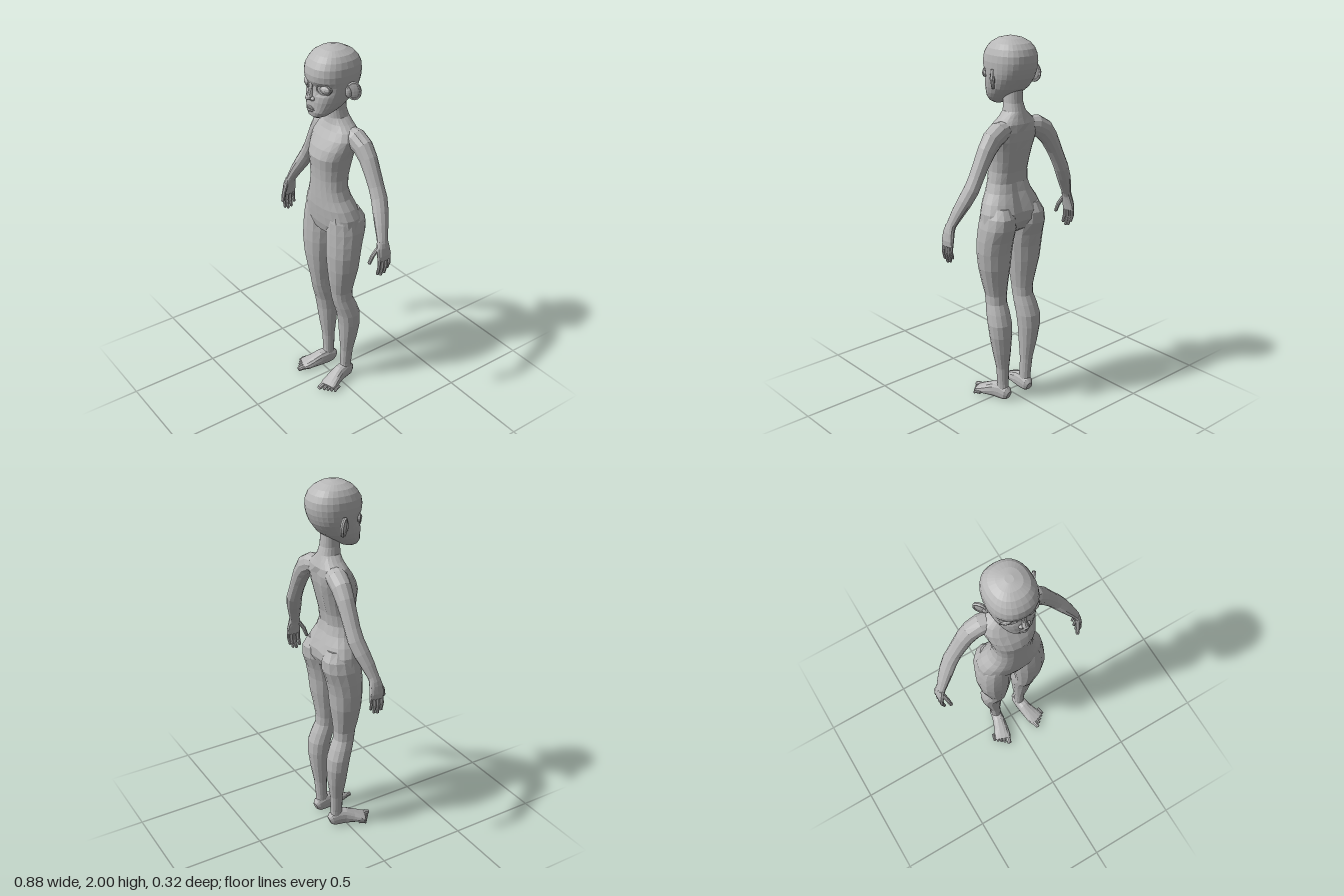
import * as THREE from 'three';

const skin = new THREE.MeshStandardMaterial({ color: 0xb8b8b8 });
skin.name = 'neutral grey';
const V = (x, y, z) => new THREE.Vector3(x, y, z);

// faceted mesh from any geometry
function part(name, geometry) {
  const flat = geometry.index ? geometry.toNonIndexed() : geometry;
  flat.computeVertexNormals();
  const mesh = new THREE.Mesh(flat, skin);
  mesh.name = name;
  return mesh;
}

// skin between rings { c: centre, u, v: half axes }, with closed ends
function loft(name, rings, segs, power = 2, warp = null) {
  const pos = [], idx = [];
  const bend = (s) => Math.sign(s) * Math.pow(Math.abs(s), 2 / power);
  const push = (p) => { if (warp) warp(p); pos.push(p.x, Math.max(p.y, 0), p.z); };
  for (const { c, u, v } of rings) {
    for (let j = 0; j < segs; j++) {
      const a = (j / segs) * Math.PI * 2;
      push(c.clone().addScaledVector(u, bend(Math.cos(a))).addScaledVector(v, bend(Math.sin(a))));
    }
  }
  push(rings[0].c.clone());
  push(rings[rings.length - 1].c.clone());
  const first = rings.length * segs, top = (rings.length - 1) * segs;
  for (let j = 0; j < segs; j++) {
    const k = (j + 1) % segs;
    for (let i = 0; i < rings.length - 1; i++) {
      const a = i * segs + j, b = i * segs + k;
      idx.push(a, b, b + segs, a, b + segs, a + segs);
    }
    idx.push(first, k, j, first + 1, top + j, top + k);
  }
  const g = new THREE.BufferGeometry();
  g.setAttribute('position', new THREE.Float32BufferAttribute(pos, 3));
  g.setIndex(idx);
  return part(name, g);
}

// horizontal slices, bottom to top: [y, x0, x1, zBack, zFront]
function slices(name, rows, segs, power, warp) {
  return loft(name, rows.map(([y, x0, x1, zb, zf]) => ({
    c: V((x0 + x1) / 2, y, (zb + zf) / 2),
    u: V(0, 0, (zf - zb) / 2),
    v: V(Math.abs(x1 - x0) / 2, 0, 0),
  })), segs, power, warp);
}
const even = (rows) => rows.map(([y, w, zb, zf]) => [y, -w, w, zb, zf]);

// slices along a path: [x, y, z, half width across, half width along ref]
function limb(name, s, rows, segs, ref = V(0, 0, 1), power = 2) {
  const pts = rows.map(([x, y, z]) => V(x * s, y, z));
  return loft(name, rows.map((r, i) => {
    const t = pts[Math.min(i + 1, pts.length - 1)].clone().sub(pts[Math.max(i - 1, 0)]).normalize();
    const v = ref.clone().addScaledVector(t, -t.dot(ref)).normalize();
    const u = v.clone().cross(t);
    return { c: pts[i], u: u.multiplyScalar(r[3]), v: v.multiplyScalar(r[4] ?? r[3]) };
  }), segs, power);
}

// finger or toe with a rounded tip
function digit(name, s, a, b, c, r) {
  const tip = c.map((n, i) => n + (n - b[i]) * 0.12);
  return limb(name, s, [[...a, r], [...b, r], [...c, r * 0.85], [...tip, r * 0.4]], 8, V(0.3, 0.5, 0.8).normalize());
}

function ball(name, x, y, z, rx, ry, rz) {
  return part(name, new THREE.SphereGeometry(1, 12, 8).scale(rx, ry, rz).translate(x, y, z));
}

function makeHead() {
  const g = new THREE.Group();
  g.name = 'head';
  // skull, with hollows pressed in around the eyes
  g.add(slices('skull', even([
    [1.652, 0.025, 0.05, 0.098], [1.665, 0.05, 0.02, 0.115], [1.69, 0.075, -0.02, 0.12],
    [1.715, 0.09, -0.06, 0.118], [1.745, 0.103, -0.1, 0.118], [1.775, 0.112, -0.122, 0.115],
    [1.8, 0.118, -0.138, 0.112], [1.825, 0.122, -0.148, 0.113], [1.85, 0.124, -0.156, 0.122],
    [1.88, 0.125, -0.16, 0.124], [1.915, 0.121, -0.157, 0.118], [1.945, 0.11, -0.143, 0.1],
    [1.97, 0.092, -0.118, 0.077], [1.99, 0.06, -0.078, 0.042], [2, 0.02, -0.04, 0.002],
  ]), 28, 2.3, (p) => {
    if (p.z < 0.03) return;
    const dx = (Math.abs(p.x) - 0.068) / 0.035, dy = (p.y - 1.815) / 0.025;
    p.z -= 0.017 * Math.exp(-dx * dx - dy * dy);
  }));
  // nose and lips
  g.add(limb('noseBridge', 1, [[0, 1.845, 0.108, 0.012, 0.01], [0, 1.8, 0.115, 0.011, 0.012],
    [0, 1.77, 0.124, 0.017, 0.018], [0, 1.755, 0.122, 0.013, 0.01]], 10));
  g.add(ball('noseTip', 0, 1.765, 0.129, 0.016, 0.014, 0.016));
  for (const [name, y, r] of [['upperLip', 1.711, 0.008], ['lowerLip', 1.697, 0.009]]) {
    g.add(limb(name, 1, [-1, -0.5, 0, 0.5, 1].map((k) =>
      [k * 0.036, y + (1.704 - y) * k * k, 0.122 - 0.014 * k * k, r * (1.15 - Math.abs(k) * 0.8)]), 8));
  }
  for (const s of [1, -1]) {
    g.add(ball('nostril', s * 0.019, 1.76, 0.117, 0.012, 0.011, 0.013));
    g.add(ball('eye', s * 0.068, 1.815, 0.068, 0.036, 0.026, 0.032));
    // eyelids
    const lid = new THREE.TorusGeometry(1, 0.12, 6, 18).scale(0.039, 0.026, 0.05);
    g.add(part('eyelid', lid.rotateY(s * 0.42).translate(s * 0.068, 1.815, 0.087)));
    // ears, flaring backwards
    const ear = new THREE.Group();
    ear.name = 'ear';
    ear.add(ball('earBowl', 0, 0, 0, 0.009, 0.046, 0.034));
    ear.add(part('earRim', new THREE.TorusGeometry(1, 0.2, 6, 16).rotateY(Math.PI / 2).scale(0.05, 0.042, 0.031)));
    ear.add(ball('earRoot', 0, -0.004, 0.026, 0.013, 0.032, 0.018));
    ear.position.set(s * 0.14, 1.803, -0.042);
    ear.rotation.set(0.12, -s * 0.68, 0);
    g.add(ear);
  }
  return g;
}

function makeArm(s) {
  const g = new THREE.Group();
  g.name = s > 0 ? 'leftArm' : 'rightArm';
  g.add(limb('armAndForearm', s, [
    [0.07, 1.545, -0.06, 0.045, 0.05], [0.125, 1.535, -0.07, 0.056, 0.054], [0.175, 1.505, -0.077, 0.056, 0.05],
    [0.215, 1.455, -0.08, 0.048, 0.046], [0.252, 1.39, -0.08, 0.041, 0.043], [0.283, 1.33, -0.08, 0.038, 0.041],
    [0.312, 1.275, -0.077, 0.038, 0.043], [0.345, 1.215, -0.062, 0.036, 0.042], [0.375, 1.16, -0.045, 0.03, 0.037],
    [0.402, 1.105, -0.03, 0.023, 0.03], [0.413, 1.08, -0.026, 0.021, 0.032],
  ], 12));
  // hand
  g.add(limb('palm', s, [[0.408, 1.095, -0.027, 0.02, 0.03], [0.418, 1.06, -0.024, 0.019, 0.037],
    [0.426, 1.02, -0.025, 0.016, 0.042], [0.428, 0.992, -0.027, 0.011, 0.04]], 12, V(0, 0, 1), 2.4));
  [[0.004, 0.915], [-0.017, 0.903], [-0.038, 0.91], [-0.058, 0.932]].forEach(([z, y], i) => {
    g.add(digit('finger', s, [0.427, 1.01, z], [0.43, (1 + y) / 2, z + 0.002], [0.419, y, z + 0.004], i === 3 ? 0.0085 : 0.0098));
  });
  g.add(digit('thumb', s, [0.412, 1.065, 0], [0.4, 1.02, 0.027], [0.392, 0.977, 0.04], 0.0115));
  return g;
}

function makeLeg(s) {
  const g = new THREE.Group();
  g.name = s > 0 ? 'leftLeg' : 'rightLeg';
  const rows = [
    [0.05, 0.055, 0.11, -0.085, -0.01], [0.1, 0.054, 0.112, -0.084, -0.018], [0.2, 0.054, 0.122, -0.09, -0.018],
    [0.3, 0.048, 0.145, -0.106, -0.006], [0.4, 0.042, 0.164, -0.116, 0.003], [0.47, 0.038, 0.169, -0.112, 0.014],
    [0.53, 0.038, 0.162, -0.092, 0.032], [0.58, 0.04, 0.152, -0.07, 0.044], [0.63, 0.038, 0.152, -0.068, 0.052],
    [0.7, 0.03, 0.17, -0.077, 0.064], [0.79, 0.02, 0.191, -0.092, 0.075], [0.88, 0.011, 0.201, -0.1, 0.08],
    [0.95, 0.008, 0.201, -0.114, 0.079], [1.02, 0.008, 0.196, -0.137, 0.076], [1.08, 0.02, 0.182, -0.137, 0.072],
    [1.13, 0.04, 0.155, -0.11, 0.065],
  ];
  g.add(slices('thighAndCalf', rows.map(([y, a, b, zb, zf]) => [y, a * s, b * s, zb, zf]), 14, 2.15));
  // foot, turned outwards
  const up = V(0, 1, 0);
  g.add(limb('foot', s, [
    [0.077, 0.034, -0.094, 0.018, 0.024], [0.079, 0.04, -0.078, 0.03, 0.04], [0.083, 0.046, -0.04, 0.034, 0.05],
    [0.09, 0.043, 0, 0.037, 0.046], [0.102, 0.032, 0.045, 0.043, 0.034], [0.116, 0.022, 0.088, 0.049, 0.023],
    [0.124, 0.018, 0.11, 0.045, 0.016],
  ], 14, up, 2.4));
  for (let i = 0; i < 5; i++) {
    const r = i ? 0.0105 - i * 0.0006 : 0.0145;
    const x = 0.092 + i * 0.0165 + (i ? 0.005 : 0), z = 0.11 - i * 0.012, len = i ? 0.038 - i * 0.002 : 0.043;
    g.add(digit('toe', s, [x, 0.02, z - 0.01], [x + 0.007, 0.018, z + len * 0.55], [x + 0.011, r, z + len], r));
  }
  return g;
}

export function createModel() {
  const model = new THREE.Group();
  model.name = 'figure';
  // torso and neck, with a shallow groove down the back
  model.add(slices('torso', even([
    [0.972, 0.04, -0.06, 0.035], [1.0, 0.13, -0.105, 0.066], [1.05, 0.188, -0.128, 0.079],
    [1.1, 0.184, -0.128, 0.085], [1.15, 0.163, -0.11, 0.09], [1.2, 0.132, -0.09, 0.091],
    [1.25, 0.114, -0.078, 0.091], [1.31, 0.106, -0.085, 0.091], [1.37, 0.111, -0.1, 0.094],
    [1.43, 0.122, -0.114, 0.1], [1.48, 0.134, -0.124, 0.083], [1.53, 0.142, -0.128, 0.054],
    [1.57, 0.125, -0.124, 0.028], [1.6, 0.088, -0.113, 0.015], [1.63, 0.056, -0.103, 0.011],
    [1.67, 0.048, -0.09, 0.012], [1.74, 0.046, -0.085, 0.012],
  ]), 20, 2.25, (p) => {
    if (p.z < -0.05 && p.y < 1.55) p.z += 0.012 * Math.exp(-((p.x / 0.02) ** 2));
  }));
  model.add(makeHead());
  for (const s of [1, -1]) model.add(makeArm(s), makeLeg(s));
  return model;
}
